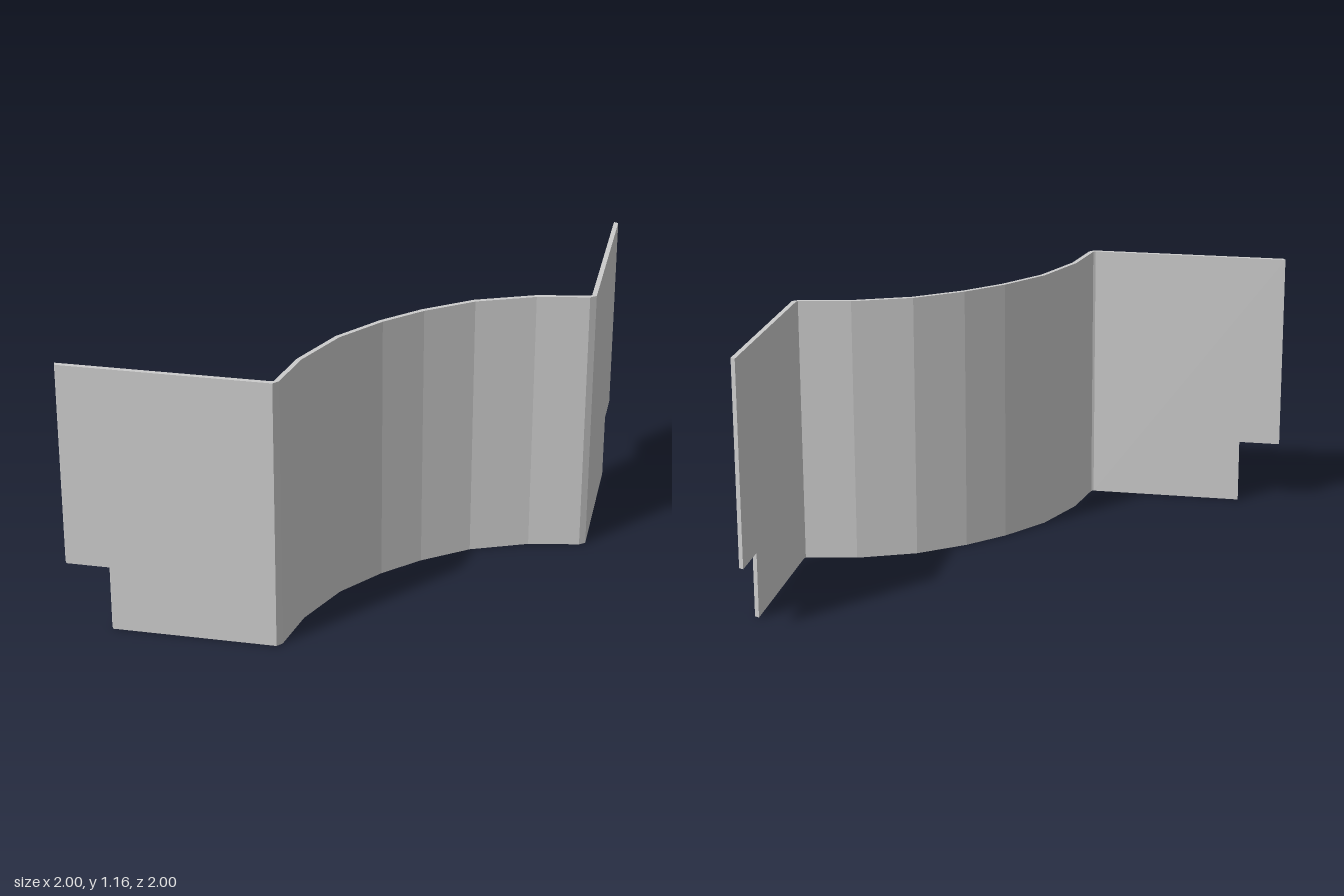
import * as THREE from 'three';

const HEIGHT = 1.165, THICK = 0.02, NOTCH_Y = 0.285;

export function createModel() {
  const group = new THREE.Group();
  group.name = 'curvedPanel';
  const material = new THREE.MeshStandardMaterial({ color: 0xcccccc, flatShading: true });

  const add = (name, geometry) => {
    const mesh = new THREE.Mesh(geometry, material);
    mesh.name = name;
    group.add(mesh);
  };

  // Flat wing with a notched lower outer corner; s = 1 runs toward -x, s = -1 toward +x
  const wing = (s) => {
    const outline = [[-1, HEIGHT], [-1, NOTCH_Y], [-0.815, NOTCH_Y], [-0.815, 0], [-0.13, 0], [-0.13, HEIGHT]];
    const shape = new THREE.Shape(outline.map(([u, y]) => new THREE.Vector2(s * u, y)));
    const geometry = new THREE.ExtrudeGeometry(shape, { depth: THICK, bevelEnabled: false });
    geometry.translate(0, 0, 1 - THICK);
    // Slant the upright ends: the outer face is shifted slightly toward the bend
    const p = geometry.attributes.position;
    for (let i = 0; i < p.count; i++) {
      if (p.getZ(i) > 1 - THICK / 2) p.setX(i, p.getX(i) + s * 0.01);
    }
    geometry.computeVertexNormals();
    return geometry;
  };

  add('frontWing', wing(1));
  add('sideWing', wing(-1).rotateY(Math.PI / 2));

  // Faceted curved wall: half of the plan, then its mirror across the diagonal
  const half = [[-0.10, 0.975], [-0.06, 0.757], [0.04, 0.515], [0.18, 0.325]];
  const mirror = (pts) => pts.map(([x, z]) => [z, x]).reverse();
  const arc = [...half, ...mirror(half)];
  const back = arc.map(([x, z]) => {
    const r = Math.hypot(x - 1, z - 1);
    return [x + (x - 1) / r * THICK, z + (z - 1) / r * THICK];
  });
  // Small chamfers join the arc to the wings
  const plan = [
    [-0.12, 1], ...arc, [1, -0.12],
    [1 - THICK, -0.13], ...back.reverse(), [-0.13, 1 - THICK],
  ];
  const wall = new THREE.ExtrudeGeometry(
    new THREE.Shape(plan.map(([x, z]) => new THREE.Vector2(x, -z))),
    { depth: HEIGHT, bevelEnabled: false },
  );
  add('curvedWall', wall.rotateX(-Math.PI / 2));

  return group;
}
